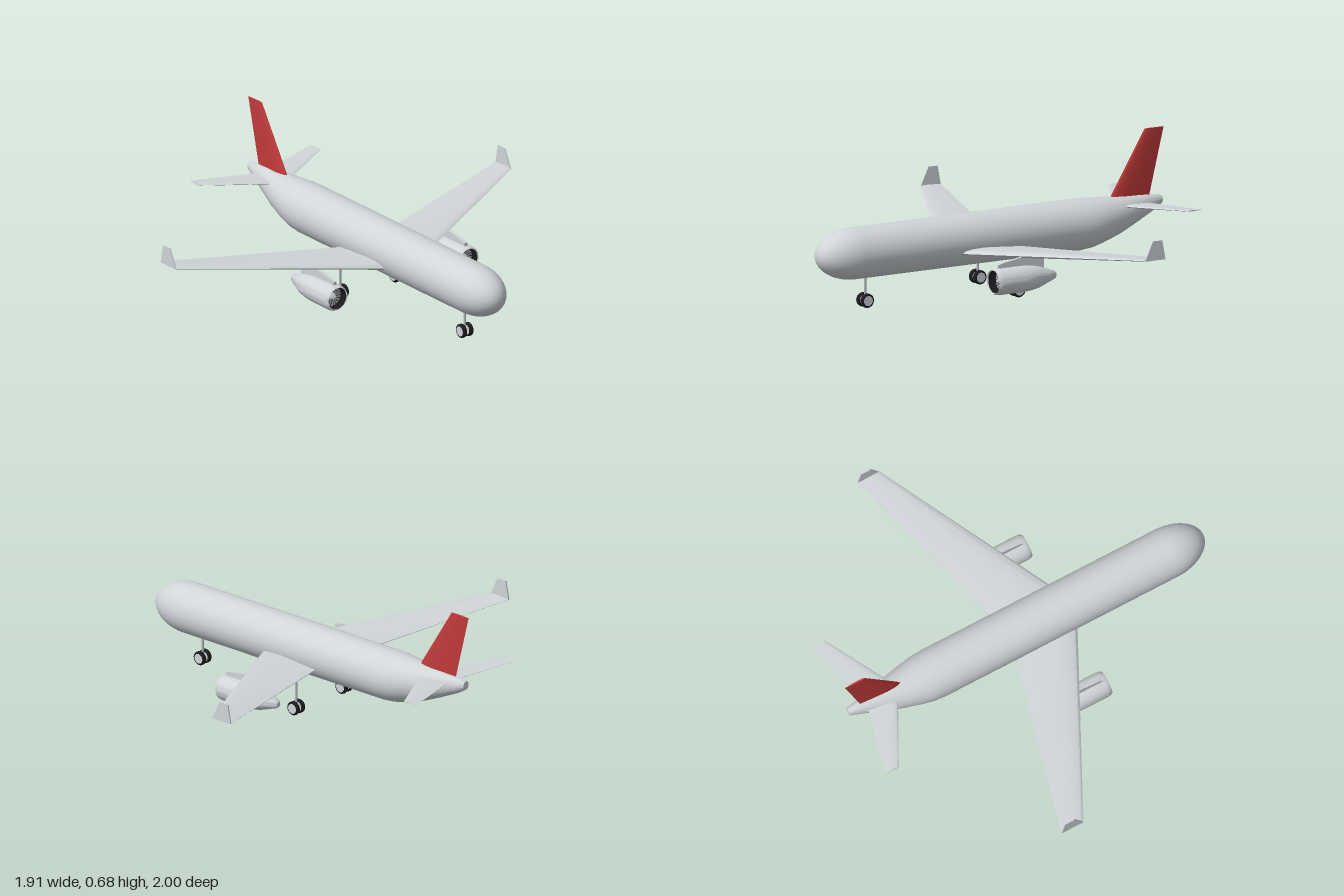
import * as THREE from 'three';
import { toCreasedNormals } from 'three/addons/utils/BufferGeometryUtils.js';

const mat = (name, color) => {
  const m = new THREE.MeshStandardMaterial({ color });
  m.name = name;
  return m;
};

// Skin a list of closed cross-sections (each counterclockwise about the direction of travel) and cap both ends
function loft(rings, crease = 0.6) {
  const n = rings[0].length, pos = rings.flat(2), idx = [];
  for (let i = 0; i < rings.length - 1; i++) {
    for (let j = 0; j < n; j++) {
      const a = i * n + j, b = i * n + (j + 1) % n;
      idx.push(a, b, b + n, a, b + n, a + n);
    }
  }
  const last = (rings.length - 1) * n;
  for (let j = 1; j < n - 1; j++) {
    idx.push(0, j + 1, j, last, last + j, last + j + 1);
  }
  const g = new THREE.BufferGeometry();
  g.setAttribute('position', new THREE.Float32BufferAttribute(pos, 3));
  g.setIndex(idx);
  return toCreasedNormals(g, crease);
}

// Aerofoil outline: fraction along the chord, half thickness
const upper = [[0.04, 0.3], [0.15, 0.45], [0.35, 0.5], [0.7, 0.28], [1, 0.04]];
const foil = [[0, 0], ...upper, ...upper.map(([f, t]) => [f, -t]).reverse()];
// Sections across z (wings) and up y (fin)
const wingSection = (z, lead, trail, y, thick) =>
  foil.map(([f, t]) => [lead + (trail - lead) * f, y + t * thick, z]);
const finSection = (y, lead, trail, thick) =>
  foil.map(([f, t]) => [lead + (trail - lead) * f, y, -t * thick]);

export function createModel() {
  const white = mat('bodyGrey', 0xd0d5d8);
  const red = mat('finRed', 0xc23a3a);
  const black = mat('tyreBlack', 0x1c1c1e);
  const metal = mat('metalGrey', 0xb4b8bb);

  const model = new THREE.Group();
  model.name = 'airliner';
  const add = (name, geo, material, parent = model) => {
    const m = new THREE.Mesh(geo, material);
    m.name = name;
    parent.add(m);
    return m;
  };

  // Fuselage stations: x, bottom, top, half width
  const stations = [
    [-0.945, 0.316, 0.358, 0.018], [-0.9, 0.288, 0.364, 0.029], [-0.8, 0.24, 0.371, 0.056],
    [-0.7, 0.196, 0.376, 0.085], [-0.6, 0.164, 0.382, 0.109], [-0.54, 0.149, 0.386, 0.12],
    [-0.48, 0.143, 0.388, 0.123], [0.755, 0.143, 0.388, 0.123],
  ];
  // Rounded nose
  for (let i = 1; i <= 12; i++) {
    const a = (i / 12) * Math.PI / 2;
    const r = Math.max(0.123 * Math.cos(a), 0.0005);
    stations.push([0.755 + 0.2 * Math.sin(a), 0.2655 - r, 0.2655 + r, r]);
  }
  const sides = 48;
  add('fuselage', loft(stations.map(([x, lo, hi, w]) =>
    Array.from({ length: sides }, (_, j) => {
      const a = (j / sides) * Math.PI * 2;
      return [x, (lo + hi) / 2 + Math.cos(a) * (hi - lo) / 2, Math.sin(a) * w];
    })), 0.8), white);

  // Main wings and tailplane, each running from tip to tip through the body
  add('wings', loft([
    wingSection(-0.995, -0.23, -0.35, 0.296, 0.01),
    wingSection(0, 0.28, -0.077, 0.213, 0.042),
    wingSection(0.995, -0.23, -0.35, 0.296, 0.01),
  ]), white);
  add('tailplane', loft([
    wingSection(-0.36, -0.87, -0.945, 0.349, 0.006),
    wingSection(0, -0.677, -0.846, 0.332, 0.018),
    wingSection(0.36, -0.87, -0.945, 0.349, 0.006),
  ]), white);

  // Vertical fin
  add('fin', loft([finSection(0.33, -0.637, -0.872, 0.026), finSection(0.683, -0.855, -0.96, 0.01)]), red);

  const plate = (points, depth) => {
    const shape = new THREE.Shape(points.map(([x, y]) => new THREE.Vector2(x, y)));
    return new THREE.ExtrudeGeometry(shape, { depth, bevelEnabled: false }).translate(0, 0, -depth / 2);
  };
  const lathe = (points) => new THREE.LatheGeometry(points.map(([r, x]) => new THREE.Vector2(r, x)), 40)
    .rotateZ(-Math.PI / 2);

  for (const side of [1, -1]) {
    const label = side > 0 ? 'left' : 'right';

    // Winglet
    add(label + 'Winglet', plate(
      [[-0.348, 0.293], [-0.235, 0.293], [-0.28, 0.386], [-0.33, 0.386]], 0.007), white)
      .position.z = side * 0.9965;

    // Engine with pylon, dark duct, fan and spinner
    const engine = new THREE.Group();
    engine.name = label + 'Engine';
    engine.position.set(0, 0.137, side * 0.39);
    model.add(engine);
    add('nacelle', toCreasedNormals(lathe([
      [0, -0.12], [0.012, -0.119], [0.02, -0.11], [0.036, -0.065], [0.052, -0.02], [0.06, 0.02],
      [0.064, 0.07], [0.064, 0.2], [0.061, 0.218], [0.057, 0.225], [0.053, 0.219],
    ]), 0.7), white, engine);
    add('duct', lathe([[0.053, 0.219], [0.052, 0.175], [0, 0.175]]), black, engine);
    for (let i = 0; i < 18; i++) {
      const step = Math.PI * 2 / 18;
      add('fanBlade', new THREE.CircleGeometry(0.049, 2, i * step, step * 0.75)
        .rotateY(Math.PI / 2).translate(0.18, 0, 0), metal, engine);
    }
    add('spinner', lathe([[0.019, 0.178], [0.016, 0.19], [0.008, 0.202], [0, 0.206]]), metal, engine);
    add('pylon', plate(
      [[-0.05, 0.03], [0.2, 0.05], [0.2, 0.08], [0.17, 0.088], [0.06, 0.105], [-0.05, 0.1]], 0.016),
      white, engine);
  }

  // Landing gear: strut, axle and twin wheels
  const gear = (name, x, z, top) => {
    const g = new THREE.Group();
    g.name = name;
    g.position.set(x, 0.034, z);
    model.add(g);
    const h = top - 0.034;
    add('strut', new THREE.CylinderGeometry(0.006, 0.006, h, 16).translate(0, h / 2, 0), metal, g);
    add('axle', new THREE.CylinderGeometry(0.006, 0.006, 0.03, 16).rotateX(Math.PI / 2), metal, g);
    const tyre = [[0.02, -0.011], [0.029, -0.011], [0.033, -0.007], [0.034, 0],
      [0.033, 0.007], [0.029, 0.011], [0.02, 0.011]].map(([r, y]) => new THREE.Vector2(r, y));
    for (const s of [1, -1]) {
      add('tyre', toCreasedNormals(new THREE.LatheGeometry(tyre, 32).rotateX(Math.PI / 2), 0.7), black, g)
        .position.z = s * 0.019;
      add('wheelHub', new THREE.CylinderGeometry(0.024, 0.024, 0.0235, 32).rotateX(Math.PI / 2), white, g)
        .position.z = s * 0.019;
    }
  };
  gear('noseGear', 0.69, 0, 0.16);
  gear('leftMainGear', -0.04, 0.172, 0.16);
  gear('rightMainGear', -0.04, -0.172, 0.16);

  return model;
}
